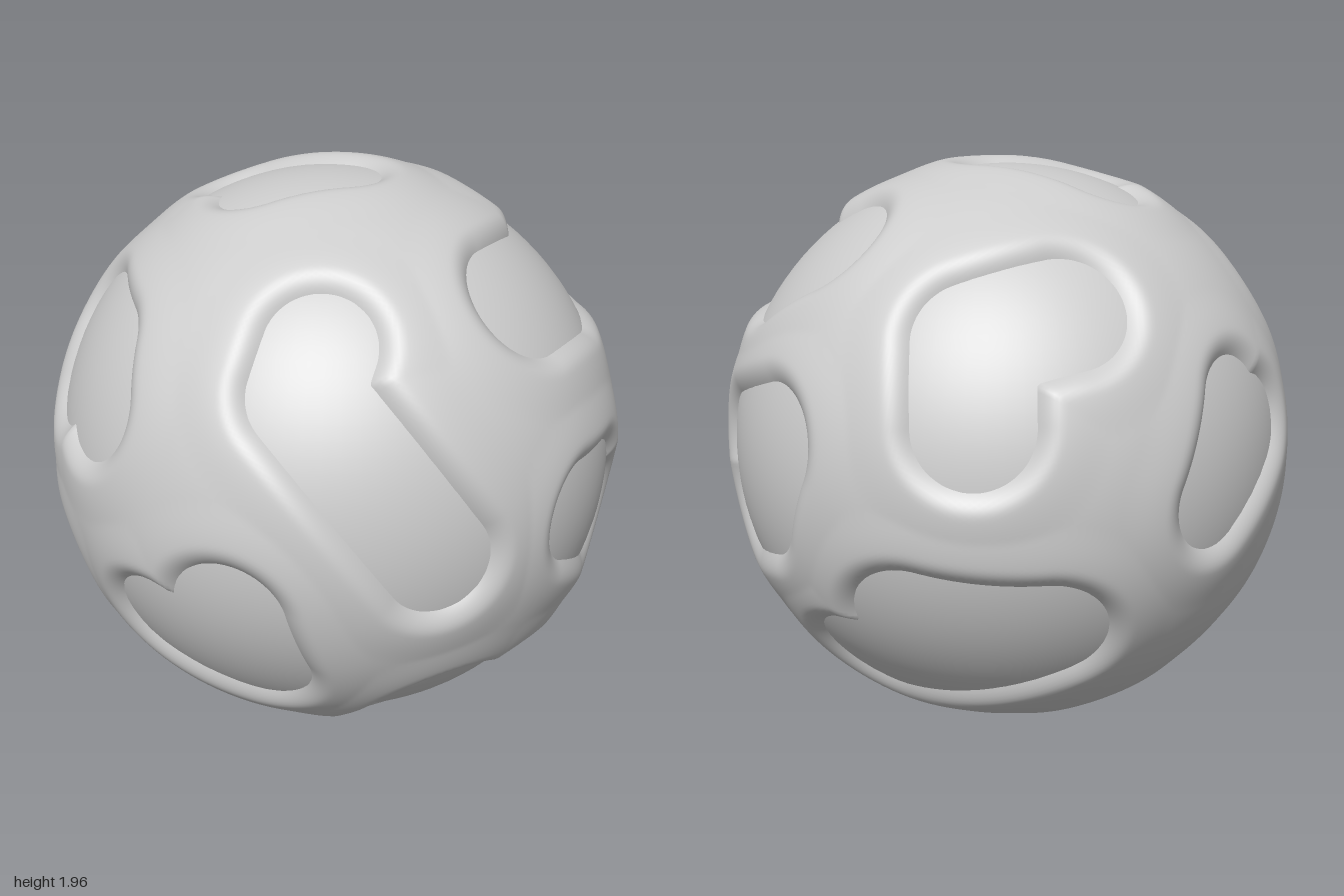
import * as THREE from 'three';
import { mergeVertices } from 'three/addons/utils/BufferGeometryUtils.js';

const CORE = 0.955; // inner ball radius
const RIM = 0.992; // raised lip round each opening
const SHELL = 0.986; // plain shell radius
const ROLL = 0.075; // width of the rolled edge
const CENTRE_Y = 0.99;
const rad = THREE.MathUtils.degToRad;

// An opening is a round brush stroke over the ball: a radius, then the turns
// (from the front) and heights of the stops it passes, all in degrees.
function stroke(radius, ...angles) {
  const stops = [];
  for (let i = 0; i < angles.length; i += 2) {
    stops.push(new THREE.Vector3().setFromSphericalCoords(1, rad(90 - angles[i + 1]), rad(angles[i])));
  }
  return { radius: rad(radius), stops };
}

function makeOpenings() {
  return [
    // front
    stroke(11, -45, 22, -50, 32, -35, 30, -29, 21),
    stroke(11.5, 8, -11, 11, -26, -9, -20),
    stroke(10.5, 25, 42, 22, 33, 48, 1),
    stroke(9.3, -57, -18, -61, -28, -47, -19),
    // sides
    stroke(12, 56, -42, 54, -50, 76, -44),
    stroke(10.5, 95, -1, 84, 0, 101, -8),
    stroke(9.5, -98, 16, -107, -1, -91, 11),
    // top
    stroke(12, 85, 44, 110, 41, 133, 40, 147, 49),
    stroke(9, -84, 70, 0, 90, -49, 75),
    // back
    stroke(11.5, 224, 38, 203, 33, 204, 17),
    stroke(12, 140, 2, 158, 8, 153, -4, 141, -7),
    stroke(12.5, 191, -23, 218, -25, 175, -38),
    // underside
    stroke(5.5, 126, -40, 132, -64),
    stroke(9, -39, -74, -98, -65, -27, -62),
  ];
}

// Angle from a point on the unit ball to an opening's edge, negative inside.
const along = new THREE.Line3(), nearest = new THREE.Vector3();
function edgeDistance(p, { radius, stops }) {
  let best = Infinity;
  for (let i = 1; i < stops.length; i++) {
    along.set(stops[i - 1], stops[i]).closestPointToPoint(p, true, nearest);
    best = Math.min(best, nearest.angleTo(p));
  }
  return best - radius;
}

// Shell radius by distance: dips under the core inside, rolls up to a lip, settles outside.
function shellRadius(d) {
  const rise = RIM - CORE;
  if (d < 0) return CORE + Math.max(-rise, 2 * rise * d / ROLL);
  const t = Math.min(d / ROLL, 1);
  return CORE + rise * t * (2 - t) - (RIM - SHELL) * THREE.MathUtils.smoothstep(d, ROLL, 3 * ROLL);
}

function shellGeometry() {
  const openings = makeOpenings();
  const ball = new THREE.IcosahedronGeometry(1, 78);
  ball.deleteAttribute('normal');
  ball.deleteAttribute('uv');
  const geometry = mergeVertices(ball);
  const position = geometry.attributes.position, p = new THREE.Vector3(), distance = [];
  for (let i = 0; i < position.count; i++) {
    p.fromBufferAttribute(position, i).normalize();
    distance[i] = Math.min(...openings.map((opening) => edgeDistance(p, opening)));
    p.multiplyScalar(shellRadius(distance[i]));
    position.setXYZ(i, p.x, p.y, p.z);
  }
  geometry.computeVertexNormals();
  // Leave out the faces buried inside the core.
  const index = geometry.index.array, kept = [];
  for (let i = 0; i < index.length; i += 3) {
    const face = [index[i], index[i + 1], index[i + 2]];
    if (face.some((v) => distance[v] > -ROLL / 2)) kept.push(...face);
  }
  geometry.setIndex(kept);
  return geometry;
}

export function createModel() {
  const group = new THREE.Group();
  group.name = 'perforatedBall';
  const material = new THREE.MeshStandardMaterial({ color: 0xcccccc });

  const core = new THREE.Mesh(new THREE.SphereGeometry(CORE, 96, 64), material);
  core.name = 'innerBall';
  const shell = new THREE.Mesh(shellGeometry(), material);
  shell.name = 'outerShell';

  for (const part of [core, shell]) {
    part.position.y = CENTRE_Y;
    group.add(part);
  }
  return group;
}
